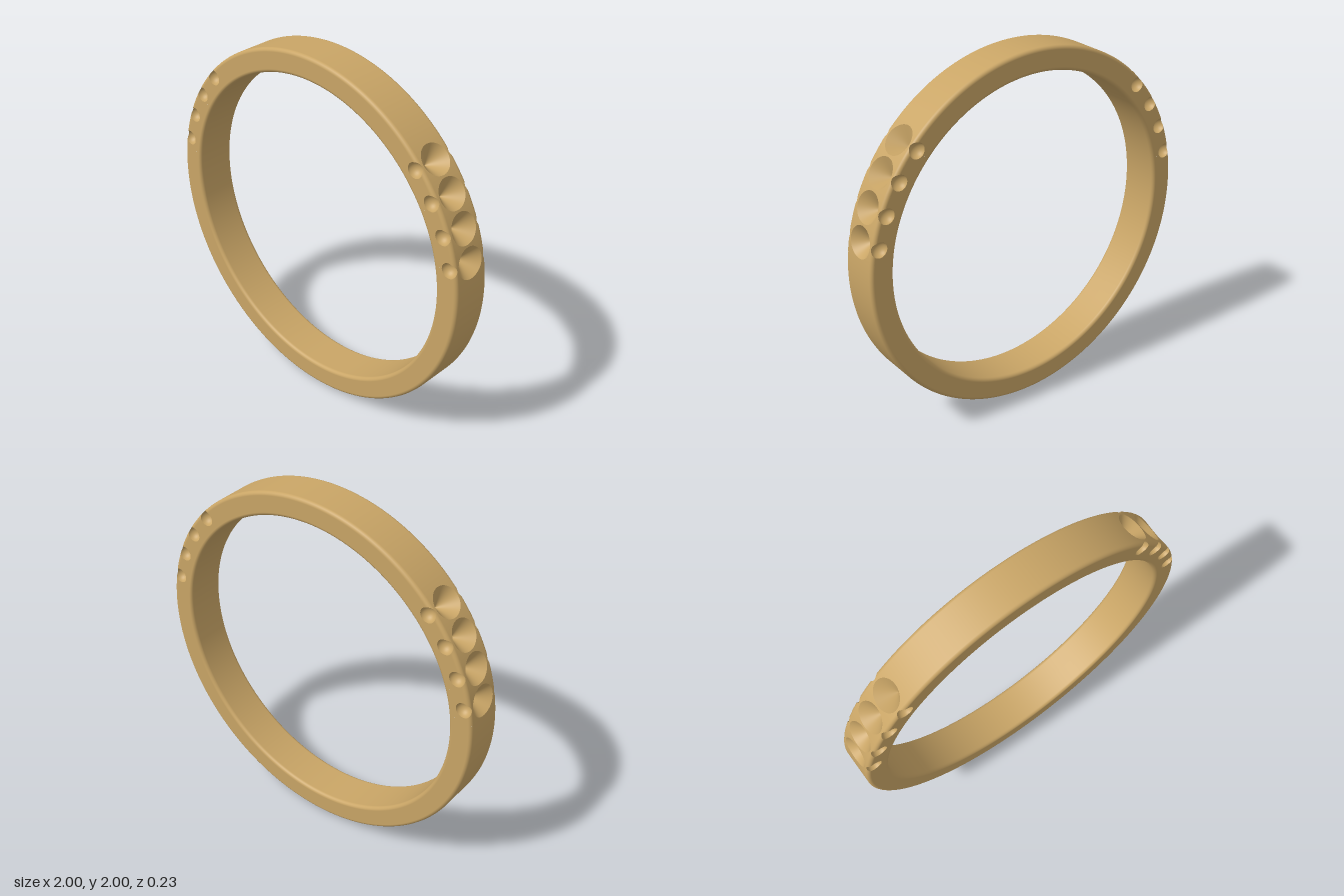
import * as THREE from 'three';
import { mergeGeometries } from 'three/addons/utils/BufferGeometryUtils.js';

const RAD = Math.PI / 180;
const OUTER = 1, INNER = 0.87, HALF = 0.115, FILLET = 0.02;

// Lengths along half of the rounded-rectangle cross-section
const FLAT = HALF - FILLET, BEND = FILLET * Math.PI / 2, SIDE = OUTER - INNER - 2 * FILLET;
const LOOP = 2 * (2 * FLAT + 2 * BEND + SIDE);
const SEAT_EDGE = 0.09;                       // end of a stone seat's cell
const DIMPLE_EDGE = FLAT + BEND + 0.075;      // end of a side dimple's cell
const PITS = [12.3, 22.5, 32.7, 42.9], PITCH = 5.1;

// Cross-section at distance s from the middle of the outer face: [r, z, normal r, normal z]
function profile(s) {
  if (s > LOOP / 2) s -= LOOP;
  const k = s < 0 ? -1 : 1;
  let d = Math.abs(s);
  if (d < FLAT) return [OUTER, k * d, 1, 0];
  d -= FLAT;
  const corner = (r, a) => [r + FILLET * Math.cos(a), k * (FLAT + FILLET * Math.sin(a)), Math.cos(a), k * Math.sin(a)];
  if (d < BEND) return corner(OUTER - FILLET, d / FILLET);
  d -= BEND;
  if (d < SIDE) return [OUTER - FILLET - d, k * HALF, 0, k];
  d -= SIDE;
  if (d < BEND) return corner(INNER + FILLET, Math.PI / 2 + d / FILLET);
  return [INNER, k * (FLAT - (d - BEND)), -1, 0];
}

// Point and normal of the plain band at an angle and a profile distance
function surface(angle, s) {
  const [r, z, nr, nz] = profile(s), c = Math.cos(angle), n = Math.sin(angle);
  return { p: new THREE.Vector3(r * c, 1 + r * n, z), n: new THREE.Vector3(nr * c, nr * n, nz) };
}

// Mesh a grid of { p, n } rows
function grid(rows) {
  const pos = [], nor = [], idx = [], w = rows[0].length;
  rows.forEach(row => row.forEach(({ p, n }) => { pos.push(p.x, p.y, p.z); nor.push(n.x, n.y, n.z); }));
  for (let i = 0; i < rows.length - 1; i++) for (let j = 0; j < w - 1; j++) {
    const a = i * w + j, b = a + 1, c = a + w, d = c + 1;
    idx.push(a, b, d, a, d, c);
  }
  const g = new THREE.BufferGeometry();
  g.setAttribute('position', new THREE.Float32BufferAttribute(pos, 3));
  g.setAttribute('normal', new THREE.Float32BufferAttribute(nor, 3));
  g.setIndex(idx);
  return g;
}

// Plain swept part of the band
function sweep(a0, a1, s0, s1) {
  const stops = [s0, s1], n = Math.ceil((a1 - a0) / (1.2 * RAD));
  for (let i = 0; i <= 6; i++) {
    const q = BEND * i / 6;
    for (const d of [FLAT + q, FLAT + BEND + SIDE + q]) stops.push(d, -d, LOOP - d);
  }
  const rows = stops.filter(s => s >= s0 && s <= s1).sort((a, b) => a - b).map(s =>
    Array.from({ length: n + 1 }, (_, j) => surface(a0 + (a1 - a0) * j / n, s)));
  return grid(rows);
}

// Conical cutter pointing at the ring's centre
function coneCutter(angle) {
  const axis = new THREE.Vector3(Math.cos(angle), Math.sin(angle), 0), slope = 0.98;
  const apex = axis.clone().multiplyScalar(0.912).add(new THREE.Vector3(0, 1, 0));
  const split = p => {
    const v = p.clone().sub(apex), h = v.dot(axis);
    return { h, e: v.addScaledVector(axis, -h) };
  };
  return {
    inside: p => { const { h, e } = split(p); return e.length() < slope * h; },
    wall: (rim, t) => ({
      p: rim.clone().lerp(apex, t),
      n: split(rim).e.normalize().negate().addScaledVector(axis, slope).normalize(),
    }),
  };
}

// Spherical cutter centred on a side face
function ballCutter(angle, side) {
  const r = 0.962, R = 0.042;
  const mid = new THREE.Vector3(r * Math.cos(angle), 1 + r * Math.sin(angle), side * HALF);
  const deep = mid.clone().add(new THREE.Vector3(0, 0, -side * R));
  return {
    inside: p => p.distanceTo(mid) < R,
    wall: (rim, t) => {
      const n = rim.clone().lerp(deep, t).sub(mid).normalize();
      return { p: mid.clone().addScaledVector(n, R), n: n.negate() };
    },
  };
}

// Rectangular cell of the band with a hollow: returns the surrounding skin and the hollow's wall
function cell(angle, s0, s1, sMid, cutter) {
  const N = 18, w = PITCH * RAD, edge = [];
  const corners = [[angle - w, s0], [angle + w, s0], [angle + w, s1], [angle - w, s1]];
  for (let c = 0; c < 4; c++) for (let i = 0; i < N; i++) {
    const a = corners[c], b = corners[(c + 1) % 4], t = i / N;
    edge.push([a[0] + (b[0] - a[0]) * t, a[1] + (b[1] - a[1]) * t]);
  }
  edge.push(edge[0]);
  const along = ([a, s], t) => surface(angle + (a - angle) * t, sMid + (s - sMid) * t);
  // Find where each spoke leaves the cutter
  const rims = edge.map(e => {
    let lo = 0, hi = 1;
    for (let i = 0; i < 30; i++) {
      const m = (lo + hi) / 2;
      if (cutter.inside(along(e, m).p)) lo = m; else hi = m;
    }
    return lo;
  });
  const rings = (n, f) => Array.from({ length: n + 1 }, (_, i) => edge.map((e, j) => f(e, rims[j], i / n)));
  return {
    skin: grid(rings(10, (e, rim, t) => along(e, 1 + (rim - 1) * t))),
    hollow: grid(rings(10, (e, rim, t) => cutter.wall(along(e, rim).p, t))),
  };
}

export function createModel() {
  const group = new THREE.Group();
  const gold = new THREE.MeshStandardMaterial({ color: 0xc9a566 });
  const add = (geometry, name) => {
    const mesh = new THREE.Mesh(geometry, gold);
    mesh.name = name;
    group.add(mesh);
  };

  // Undecorated top and bottom arcs, and the inside of both decorated arcs
  const a0 = (PITS[0] - PITCH) * RAD, a1 = (PITS[3] + PITCH) * RAD;
  const skins = [
    sweep(a1, Math.PI - a1, -LOOP / 2, LOOP / 2),
    sweep(Math.PI - a0, 2 * Math.PI + a0, -LOOP / 2, LOOP / 2),
    sweep(a0, a1, DIMPLE_EDGE, LOOP - DIMPLE_EDGE),
    sweep(Math.PI - a1, Math.PI - a0, DIMPLE_EDGE, LOOP - DIMPLE_EDGE),
  ];

  // Stone seats on the outer face, with a dimple beside each on both side faces
  for (const deg of PITS) for (const angle of [deg * RAD, Math.PI - deg * RAD]) {
    const seat = cell(angle, -SEAT_EDGE, SEAT_EDGE, 0, coneCutter(angle));
    skins.push(seat.skin);
    add(seat.hollow, 'stoneSeat');
    for (const side of [1, -1]) {
      const ends = [side * SEAT_EDGE, side * DIMPLE_EDGE].sort((a, b) => a - b);
      const dimple = cell(angle, ends[0], ends[1], side * (FLAT + BEND + 0.018), ballCutter(angle, side));
      skins.push(dimple.skin);
      add(dimple.hollow, 'sideDimple');
    }
  }
  add(mergeGeometries(skins), 'band');
  return group;
}
